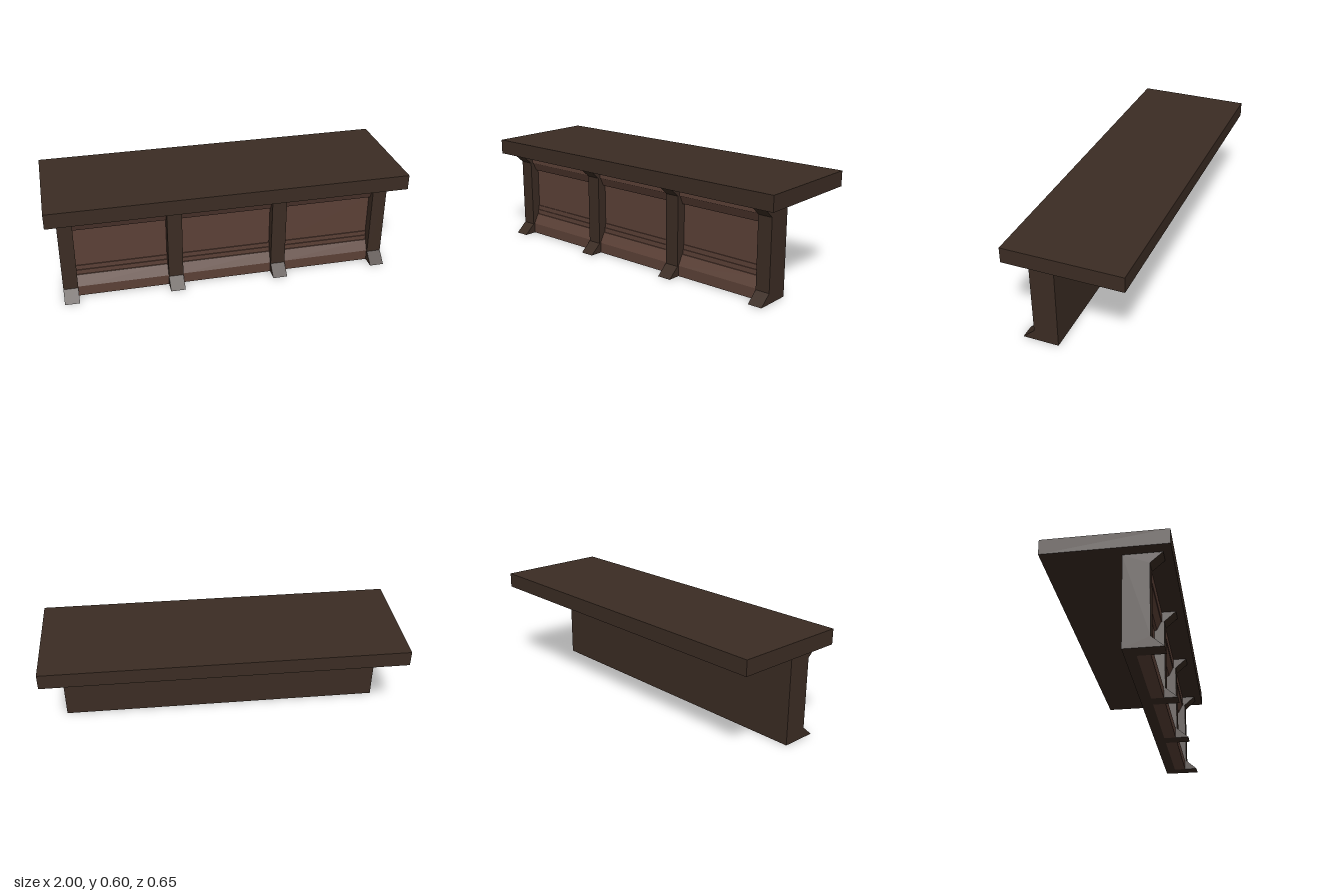
import * as THREE from 'three';

export function createModel() {
  const group = new THREE.Group();
  group.name = 'counter';
  const darkWood = new THREE.MeshStandardMaterial({ name: 'dark wood', color: 0x3b2c23 });
  const redWood = new THREE.MeshStandardMaterial({ name: 'reddish wood', color: 0x5b4036 });

  // Sweep a [z, y] side profile along x from x0 to x1
  function sweep(name, profile, x0, x1, material) {
    const shape = new THREE.Shape(profile.map(([z, y]) => new THREE.Vector2(z, y)));
    const geometry = new THREE.ExtrudeGeometry(shape, { depth: x1 - x0, bevelEnabled: false });
    geometry.rotateY(-Math.PI / 2).translate(x1, 0, 0);
    const mesh = new THREE.Mesh(geometry, material);
    mesh.name = name;
    group.add(mesh);
  }

  // Counter slab, floating slightly above the base
  const slab = new THREE.Mesh(new THREE.BoxGeometry(2, 0.085, 0.652), darkWood);
  slab.name = 'countertop';
  slab.position.y = 0.5605;
  group.add(slab);

  // Posts with flared feet and brackets
  const postProfile = [
    [0.08, 0], [0.283, 0], [0.217, 0.058], [0.217, 0.456], [0.283, 0.514], [0.08, 0.514],
  ];
  const posts = [[-0.94, -0.858], [-0.348, -0.265], [0.25, 0.333], [0.845, 0.926]];
  posts.forEach(([x0, x1]) => sweep('post', postProfile, x0, x1, darkWood));

  // Moulded panels: plinth, sloped skirting, recessed field, overhanging cornice
  const panelProfile = [
    [0.14, 0], [0.208, 0], [0.208, 0.06], [0.178, 0.118], [0.172, 0.118], [0.172, 0.145],
    [0.167, 0.145], [0.167, 0.172], [0.162, 0.172], [0.162, 0.4], [0.176, 0.405],
    [0.2, 0.455], [0.204, 0.455], [0.204, 0.514], [0.14, 0.514],
  ];
  const backProfile = [[0.08, 0], [0.14, 0], [0.14, 0.514], [0.08, 0.514]];
  for (let i = 0; i < 3; i++) {
    const x0 = posts[i][1], x1 = posts[i + 1][0];
    sweep('frontPanel', panelProfile, x0, x1, redWood);
    sweep('backBoard', backProfile, x0, x1, darkWood);
  }
  return group;
}
